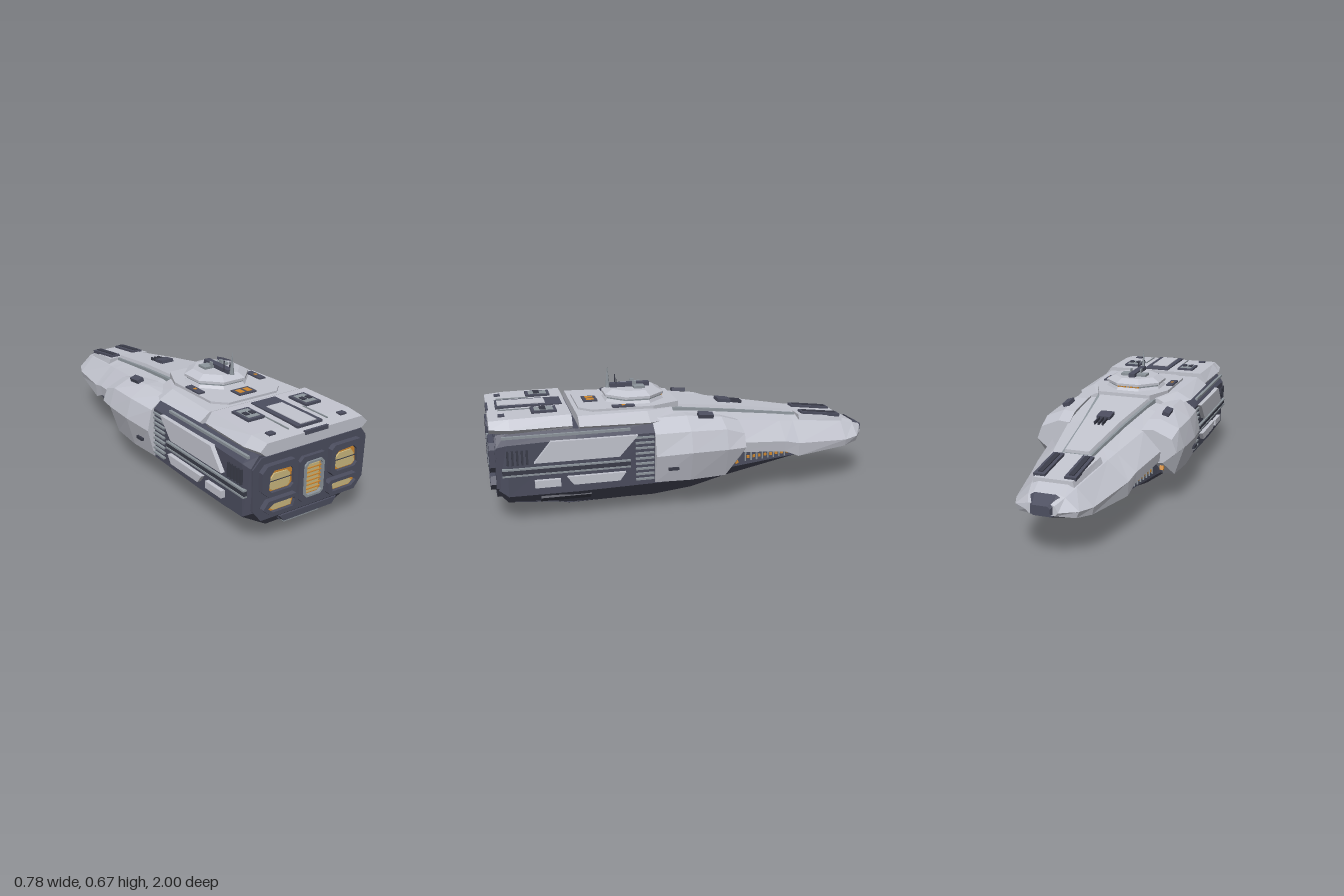
import * as THREE from 'three';

const mat = (name, color, extra) => {
  const m = new THREE.MeshStandardMaterial({ color, flatShading: true });
  m.name = name;
  return m;
};

export function createModel() {
  const ship = new THREE.Group();
  ship.name = 'starship';
  const light = mat('paleHull', 0xc3c5cf), dark = mat('darkHull', 0x4c4e5f), trim = mat('darkTrim', 0x3a3c49);
  const gray = mat('grayMetal', 0x8e969d), orange = mat('orangeGlow', 0xd28a30), cream = mat('creamGlow', 0xcdba80);

  const add = (name, geo, m) => {
    const mesh = new THREE.Mesh(geo, m);
    mesh.name = name;
    ship.add(mesh);
    return mesh;
  };
  const box = (name, m, x, y, z, w, h, d, rx = 0, rz = 0) => {
    const b = add(name, new THREE.BoxGeometry(w, h, d), m);
    b.position.set(x, y, z);
    b.rotation.set(rx, 0, rz);
    return b;
  };
  const both = f => [1, -1].forEach(f);
  const mirrored = pts => pts.map(([x, y]) => [-x, y]).reverse();
  const sided = (pts, s) => (s > 0 ? pts : mirrored(pts));

  // Skin through cross-sections [z, ring], ordered from +z to -z, rings counter-clockwise
  const loft = (name, m, rows) => {
    const pos = [];
    const tri = (...p) => p.forEach(v => pos.push(...v));
    const rings = rows.map(([z, r]) => r.map(([x, y]) => [x, y, z]));
    const n = rings[0].length, end = rings[rings.length - 1];
    for (let k = 0; k < rings.length - 1; k++) for (let i = 0; i < n; i++) {
      const j = (i + 1) % n, a = rings[k][i], b = rings[k][j], c = rings[k + 1][j], d = rings[k + 1][i];
      tri(a, d, c);
      tri(a, c, b);
    }
    for (let i = 1; i < n - 1; i++) {
      tri(rings[0][0], rings[0][i], rings[0][i + 1]);
      tri(end[0], end[i + 1], end[i]);
    }
    const g = new THREE.BufferGeometry();
    g.setAttribute('position', new THREE.Float32BufferAttribute(pos, 3));
    g.computeVertexNormals();
    return add(name, g, m);
  };
  // Symmetric skin from half sections
  const hull = (name, m, rows) => loft(name, m, rows.map(([z, ...h]) => [z, [...h, ...mirrored(h)]]));

  const shapeOf = (pts, hole) => {
    const s = new THREE.Shape(pts.map(p => new THREE.Vector2(...p)));
    if (hole) s.holes.push(new THREE.Path(hole.map(p => new THREE.Vector2(...p))));
    return s;
  };
  // Plate facing the stern
  const sternPlate = (name, m, pts, z0, z1, hole) => {
    const g = new THREE.ExtrudeGeometry(shapeOf(pts, hole), { depth: z1 - z0, bevelEnabled: false });
    add(name, g.translate(0, 0, z0), m);
  };
  // Plate on a flank, points are [z, y]
  const sidePlate = (name, m, pts, x, t, s) => {
    const g = new THREE.ExtrudeGeometry(shapeOf(pts), { depth: t, bevelEnabled: false }).rotateY(-Math.PI / 2);
    add(name, g.translate(s > 0 ? x + t : -x, 0, 0), m);
  };
  // Flat deck plate, points are [x, z]
  const deckPlate = (name, m, pts, y, t) => {
    const g = new THREE.ExtrudeGeometry(shapeOf(pts.map(([x, z]) => [x, -z])), { depth: t, bevelEnabled: false });
    add(name, g.rotateX(-Math.PI / 2).translate(0, y, 0), m);
  };
  const chamfer = (x0, x1, y0, y1, c) => [[x0 + c, y0], [x1 - c, y0], [x1, y0 + c], [x1, y1 - c],
    [x1 - c, y1], [x0 + c, y1], [x0, y1 - c], [x0, y0 + c]];

  // Dark lower hull
  hull('lowerHull', dark, [
    [0.965, [0.2, 0.12], [0.31, 0.17], [0.325, 0.38], [0.285, 0.43]],
    [0.92, [0.2, 0.065], [0.33, 0.14], [0.335, 0.39], [0.29, 0.435]],
    [0.6, [0.2, 0.04], [0.335, 0.14], [0.335, 0.4], [0.3, 0.44]],
    [0.2, [0.17, 0.027], [0.33, 0.145], [0.335, 0.4], [0.29, 0.44]],
    [0, [0.15, 0.04], [0.31, 0.155], [0.3, 0.35], [0.2, 0.42]],
    [-0.2, [0.14, 0.085], [0.265, 0.17], [0.26, 0.28], [0.18, 0.38]],
    [-0.55, [0.1, 0.145], [0.215, 0.19], [0.21, 0.25], [0.1, 0.34]],
    [-0.88, [0.08, 0.185], [0.15, 0.21], [0.15, 0.23], [0.06, 0.28]],
    [-0.98, [0.04, 0.22], [0.06, 0.23], [0.06, 0.25], [0.04, 0.265]]]);
  // Pale upper armour
  hull('upperHull', light, [
    [0.24, [0.3, 0.3], [0.32, 0.4], [0.27, 0.455], [0.1, 0.475]],
    [0, [0.31, 0.23], [0.33, 0.32], [0.25, 0.425], [0.12, 0.45]],
    [-0.22, [0.285, 0.25], [0.29, 0.3], [0.2, 0.395], [0.09, 0.42]],
    [-0.48, [0.245, 0.22], [0.25, 0.275], [0.155, 0.36], [0.08, 0.38]],
    [-0.56, [0.235, 0.185], [0.24, 0.255], [0.14, 0.348], [0.07, 0.368]],
    [-0.85, [0.175, 0.2], [0.183, 0.235], [0.105, 0.315], [0.07, 0.33]],
    [-0.93, [0.135, 0.21], [0.148, 0.24], [0.085, 0.295], [0.06, 0.305]],
    [-0.985, [0.06, 0.23], [0.075, 0.245], [0.06, 0.275], [0.04, 0.28]]]);
  // Keel and belly panels
  hull('keel', dark, [
    [0.72, [0.13, 0.03], [0.2, 0.055], [0.2, 0.09]],
    [0.62, [0.12, 0.004], [0.2, 0.036], [0.2, 0.08]],
    [0.32, [0.1, 0], [0.18, 0.036], [0.18, 0.08]],
    [0, [0.08, 0.03], [0.12, 0.045], [0.12, 0.08]]]);
  hull('keelSternBlock', dark, [
    [0.91, [0.13, 0.065], [0.215, 0.075], [0.215, 0.11]],
    [0.68, [0.13, 0.045], [0.215, 0.05], [0.215, 0.1]]]);
  hull('sternRamp', gray, [
    [0.925, [0.1, 0.045], [0.135, 0.078], [0.12, 0.085]],
    [0.7, [0.1, 0.03], [0.135, 0.05], [0.12, 0.06]]]);
  hull('sternStep', dark, [
    [0.95, [0.15, 0.085], [0.17, 0.11], [0.17, 0.125]],
    [0.8, [0.15, 0.065], [0.17, 0.09], [0.17, 0.12]]]);
  box('keelHatch', trim, 0, 0.003, 0.47, 0.13, 0.006, 0.2);
  box('bellyHatch', trim, 0, 0.063, -0.1, 0.16, 0.012, 0.13, 0.22);
  box('foreBellyPanel', trim, 0, 0.116, -0.375, 0.14, 0.012, 0.25, 0.17);
  box('noseBellyPanel', trim, 0, 0.163, -0.7, 0.12, 0.012, 0.22, 0.12);

  // Shoulder armour
  both(s => loft('shoulderArmour', light, [
    [0.225, [[0.28, 0.15], [0.335, 0.15], [0.372, 0.29], [0.35, 0.395], [0.27, 0.455], [0.2, 0.46]]],
    [0.05, [[0.28, 0.15], [0.345, 0.15], [0.39, 0.3], [0.362, 0.4], [0.27, 0.455], [0.2, 0.455]]],
    [-0.13, [[0.27, 0.155], [0.335, 0.155], [0.383, 0.3], [0.355, 0.395], [0.26, 0.435], [0.2, 0.43]]],
    [-0.225, [[0.25, 0.24], [0.3, 0.24], [0.37, 0.3], [0.345, 0.365], [0.25, 0.405], [0.19, 0.4]]]
  ].map(([z, r]) => [z, sided(r, s)])));

  // Rear and middle decks
  hull('rearDeck', light, [
    [0.992, [0.27, 0.435], [0.3, 0.46], [0.265, 0.492]],
    [0.9, [0.29, 0.43], [0.315, 0.455], [0.275, 0.498]],
    [0.61, [0.29, 0.43], [0.305, 0.455], [0.27, 0.502]]]);
  hull('middleDeck', light, [
    [0.58, [0.29, 0.43], [0.315, 0.45], [0.26, 0.488]],
    [0.24, [0.29, 0.43], [0.315, 0.445], [0.24, 0.485]],
    [0.1, [0.2, 0.43], [0.24, 0.44], [0.17, 0.475]]]);
  deckPlate('bridgeFooting', light, [[-0.14, 0.56], [0.14, 0.56], [0.2, 0.5], [0.2, 0.2], [0.14, 0.06], [-0.14, 0.06],
    [-0.2, 0.2], [-0.2, 0.5]], 0.47, 0.028);
  // Spine with a dark seam, and raised nose deck
  hull('spineSeam', gray, [
    [0.1, [0.165, 0.43], [0.16, 0.472]],
    [-0.25, [0.115, 0.39], [0.11, 0.424]],
    [-0.595, [0.078, 0.35], [0.073, 0.373]]]);
  hull('spine', light, [
    [0.12, [0.155, 0.44], [0.14, 0.488]],
    [-0.25, [0.105, 0.4], [0.092, 0.441]],
    [-0.59, [0.07, 0.355], [0.058, 0.388]]]);
  hull('noseDeck', light, [
    [-0.6, [0.135, 0.33], [0.12, 0.374]],
    [-0.86, [0.105, 0.29], [0.09, 0.343]]]);
  both(s => {
    box('noseSlot', dark, s * 0.073, 0.361, -0.735, 0.055, 0.016, 0.22, -0.12);
    box('noseSlotRail', trim, s * 0.073, 0.37, -0.735, 0.024, 0.008, 0.19, -0.12);
  });
  hull('noseCap', dark, [
    [-0.94, [0.07, 0.24], [0.07, 0.295], [0.05, 0.308]],
    [-1, [0.045, 0.235], [0.045, 0.265], [0.035, 0.275]]]);
  box('spineHatch', dark, 0, 0.452, -0.215, 0.07, 0.02, 0.07, -0.14);
  for (const x of [-0.02, 0, 0.02]) box('spineFin', trim, x, 0.443, -0.28, 0.008, 0.016, 0.07, -0.14);

  // Bridge
  const tier = (name, m, rt, rb, y0, y1) => {
    const g = new THREE.CylinderGeometry(rt, rb, y1 - y0, 8).rotateY(Math.PI / 8);
    add(name, g, m).position.set(0, (y0 + y1) / 2, 0.265);
  };
  tier('bridgeBase', light, 0.15, 0.165, 0.49, 0.512);
  tier('bridgeBand', gray, 0.148, 0.148, 0.512, 0.522);
  tier('bridgeRim', light, 0.16, 0.16, 0.522, 0.534);
  tier('bridgeRoof', light, 0.118, 0.16, 0.534, 0.556);
  for (let i = -3; i <= 3; i++) box('bridgeWindow', orange, i * 0.018, 0.517, 0.126, 0.011, 0.007, 0.006);
  box('roofPlatform', gray, 0, 0.562, 0.24, 0.14, 0.012, 0.055);
  box('roofRail', dark, 0, 0.566, 0.28, 0.034, 0.02, 0.2);
  both(s => {
    box('roofPod', gray, s * 0.028, 0.572, 0.26, 0.008, 0.03, 0.02);
    box('roofMast', trim, s * 0.017, 0.59, 0.35, 0.004, s > 0 ? 0.03 : 0.055, 0.004);
  });
  add('spire', new THREE.ConeGeometry(0.012, 0.11, 8), gray).position.set(0, 0.611, 0.39);

  // Deck fittings
  box('rearHatchFrame', dark, 0, 0.501, 0.79, 0.14, 0.012, 0.32);
  box('rearHatch', light, 0, 0.505, 0.825, 0.09, 0.012, 0.23);
  box('aftBox', dark, 0, 0.495, 0.485, 0.1, 0.02, 0.07);
  both(s => {
    box('aftBoxLamp', orange, s * 0.022, 0.505, 0.485, 0.028, 0.004, 0.04);
    box('rearVent', dark, s * 0.163, 0.504, 0.73, 0.09, 0.014, 0.12);
    box('rearVentPanel', gray, s * 0.163, 0.51, 0.73, 0.062, 0.006, 0.09);
    for (const d of [-0.017, 0.017]) box('rearVentCap', trim, s * 0.163 + d, 0.513, 0.735, 0.022, 0.008, 0.03);
    box('cornerHatch', dark, s * 0.2, 0.498, 0.93, 0.036, 0.01, 0.03);
    box('deckRail', gray, s * 0.11, 0.501, 0.86, 0.005, 0.006, 0.16);
    box('deckTurret', dark, s * 0.18, 0.494, 0.345, 0.036, 0.024, 0.11);
    box('deckTurretLamp', orange, s * 0.18, 0.505, 0.345, 0.014, 0.006, 0.016);
    box('shoulderHatch', dark, s * 0.27, 0.452, -0.045, 0.036, 0.02, 0.075, -0.1, -s * 0.3);
    box('shoulderPort', trim, s * 0.366, 0.222, 0.14, 0.014, 0.014, 0.05);
  });

  // Flanks
  both(s => {
    sidePlate('upperFlankPlate', light, [[0.8, 0.302], [0.4, 0.302], [0.31, 0.4], [0.72, 0.4]], 0.33, 0.026, s);
    sidePlate('lowerFlankPlate', light, [[0.62, 0.182], [0.4, 0.182], [0.37, 0.222], [0.65, 0.222]], 0.33, 0.024, s);
    sidePlate('aftFlankPlate', light, [[0.8, 0.18], [0.68, 0.18], [0.68, 0.215], [0.8, 0.215]], 0.33, 0.024, s);
    for (let i = 0; i < 9; i++) box('flankSlat', gray, s * 0.336, 0.175 + i * 0.026, 0.275, 0.016, 0.009, 0.09);
    for (const y of [0.245, 0.275]) box('flankRail', gray, s * 0.336, y, 0.645, 0.02, 0.008, 0.6);
    box('flankChannel', trim, s * 0.334, 0.26, 0.645, 0.016, 0.022, 0.6);
    box('flankEave', gray, s * 0.318, 0.422, 0.64, 0.014, 0.012, 0.6);
    for (let i = 0; i < 5; i++) box('flankBolt', trim, s * 0.338, 0.33, 0.83 + i * 0.022, 0.012, 0.07, 0.01);
    box('chineVent', trim, s * 0.275, 0.098, 0.65, 0.05, 0.014, 0.24, 0, s * 0.65);
    // Windows under the fore armour
    for (let i = 0; i < 8; i++) {
      const z = -0.26 - i * 0.032, x = 0.256 - i * 0.0046;
      box('foreRib', gray, s * x, 0.218, z, 0.012, 0.05, 0.007);
      box('foreWindow', orange, s * (x - 0.003), 0.212, z - 0.016, 0.008, 0.014, 0.013);
    }
    box('shoulderLamp', orange, s * 0.29, 0.22, -0.195, 0.02, 0.05, 0.016, 0.4);
  });

  // Stern face and engines
  sternPlate('sternRim', dark, [[-0.27, 0.125], [0.27, 0.125], [0.315, 0.18], [0.32, 0.375], [0.275, 0.42], [-0.275, 0.42],
    [-0.32, 0.375], [-0.315, 0.18]], 0.95, 0.972);
  const engine = (outer, inner, core) => {
    sternPlate('engineFrame', dark, outer, 0.965, 0.998, inner);
    sternPlate('engineGlow', orange, inner, 0.965, 0.982);
    sternPlate('engineCore', cream, core, 0.98, 0.988);
  };
  both(s => {
    const mir = pts => sided(pts, s);
    engine(mir([[0.115, 0.24], [0.25, 0.24], [0.288, 0.275], [0.288, 0.36], [0.26, 0.388], [0.115, 0.388], [0.095, 0.37], [0.095, 0.26]]),
      mir([[0.135, 0.26], [0.235, 0.26], [0.252, 0.277], [0.246, 0.34], [0.225, 0.362], [0.135, 0.357], [0.118, 0.34], [0.118, 0.275]]),
      mir([[0.145, 0.267], [0.228, 0.267], [0.242, 0.28], [0.234, 0.322], [0.218, 0.342], [0.148, 0.34], [0.132, 0.325], [0.132, 0.278]]));
    box('engineBar', trim, s * 0.184, 0.31, 0.989, 0.125, 0.003, 0.004);
    engine(mir([[0.1, 0.152], [0.24, 0.152], [0.278, 0.188], [0.25, 0.222], [0.1, 0.222], [0.088, 0.21], [0.088, 0.165]]),
      mir([[0.115, 0.165], [0.225, 0.165], [0.253, 0.187], [0.222, 0.206], [0.11, 0.206], [0.106, 0.195]]),
      mir([[0.125, 0.171], [0.218, 0.171], [0.237, 0.186], [0.215, 0.199], [0.123, 0.199], [0.119, 0.19]]));
  });
  sternPlate('centreFrame', dark, chamfer(-0.078, 0.078, 0.16, 0.374, 0.02), 0.965, 0.99, chamfer(-0.055, 0.055, 0.18, 0.35, 0.016));
  sternPlate('centreRing', gray, chamfer(-0.055, 0.055, 0.18, 0.35, 0.016), 0.965, 0.998, chamfer(-0.045, 0.045, 0.19, 0.34, 0.012));
  sternPlate('centreGlow', orange, chamfer(-0.045, 0.045, 0.19, 0.34, 0.012), 0.965, 0.982);
  for (let i = 0; i < 7; i++) {
    box('centreSlat', cream, 0, 0.204 + i * 0.02, 0.984, 0.066, 0.013, 0.006);
    if (i < 6) box('centreGap', orange, 0, 0.214 + i * 0.02, 0.986, 0.088, 0.005, 0.008);
  }
  sternPlate('sternSill', dark, [[-0.14, 0.085], [0.14, 0.085], [0.165, 0.115], [-0.165, 0.115]], 0.94, 0.97);
  box('sternLipFrame', dark, 0, 0.49, 0.99, 0.13, 0.018, 0.012);
  return ship;
}
